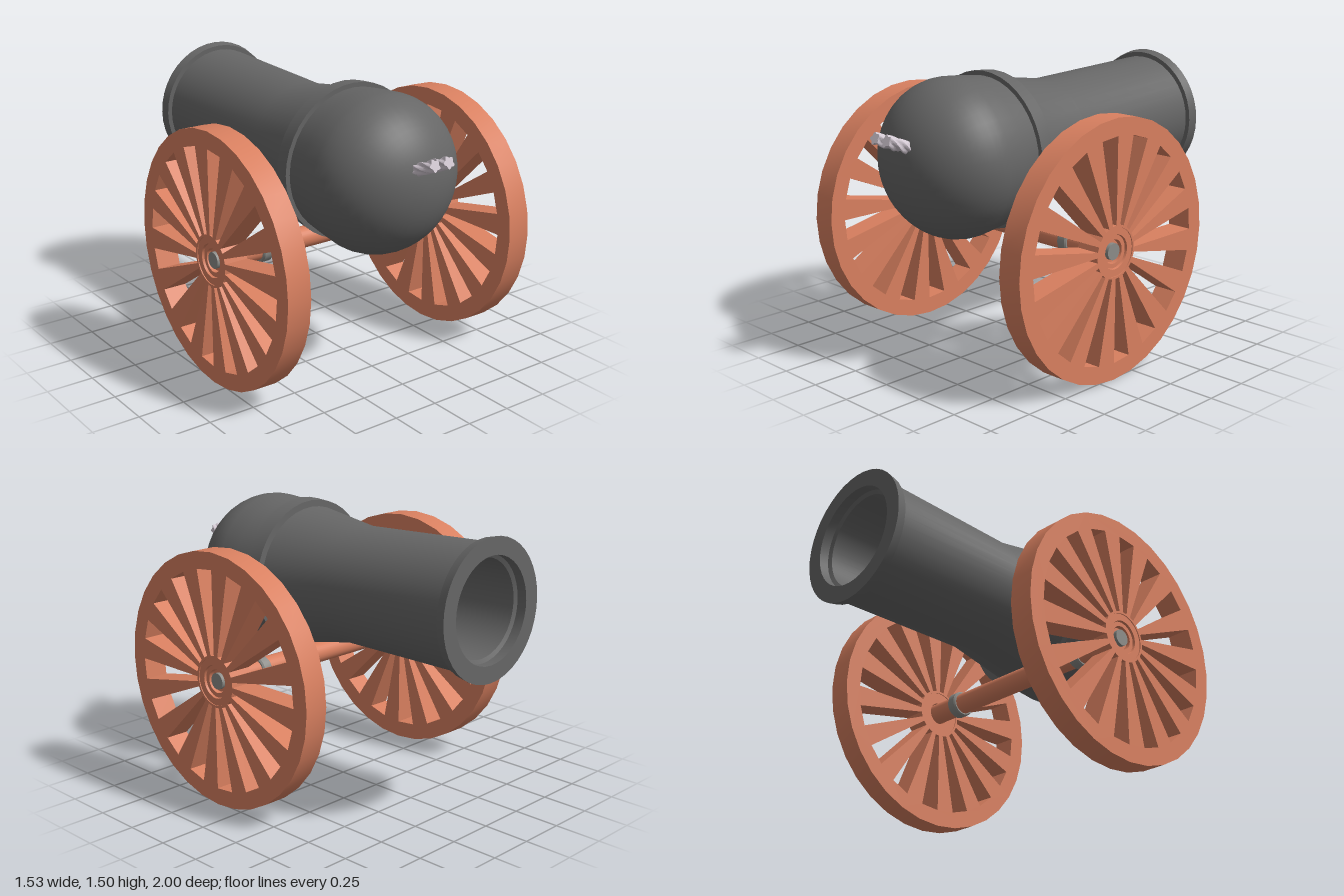
import * as THREE from 'three';
import { toCreasedNormals } from 'three/addons/utils/BufferGeometryUtils.js';

const material = (color) => new THREE.MeshStandardMaterial({ color });
const iron = material(0x666666);
const wood = material(0xd98060);
const steel = material(0x8c8c88);
const rope = material(0xd0c6d0);

const AXLE_Y = 0.67, AXLE_Z = 0.16;

function addMesh(parent, name, geometry, mat) {
  const mesh = new THREE.Mesh(geometry, mat);
  mesh.name = name;
  parent.add(mesh);
  return mesh;
}

function lathe(points, segments = 32) {
  const profile = points.map(([r, y]) => new THREE.Vector2(r, y));
  return toCreasedNormals(new THREE.LatheGeometry(profile, segments), 0.4);
}

const polar = (r, a) => new THREE.Vector2(r * Math.cos(a), r * Math.sin(a));

function circle(r, sides) {
  return Array.from({ length: sides }, (_, i) => polar(r, (i / sides) * Math.PI * 2));
}

// Flat wheel with 16 wedge-shaped openings, extruded along x
function wheelGeometry() {
  const shape = new THREE.Shape(circle(0.67, 32));
  shape.holes.push(new THREE.Path(circle(0.125, 32)));
  const step = Math.PI / 8;
  for (let i = 0; i < 16; i++) {
    const a = i * step, b = a + step / 2;
    shape.holes.push(new THREE.Path([polar(0.137, a), polar(0.58, a), polar(0.58, b), polar(0.137, b)]));
  }
  const g = new THREE.ExtrudeGeometry(shape, { depth: 0.13, bevelEnabled: false });
  g.translate(0, 0, -0.065);
  g.rotateY(Math.PI / 2);
  return toCreasedNormals(g, 0.4);
}

// Lobed cross-section, twisted along its length
function fuseGeometry() {
  const lobes = Array.from({ length: 30 }, (_, i) => {
    const a = (i / 30) * Math.PI * 2;
    return polar(0.028 + 0.005 * Math.cos(5 * a), a);
  });
  const g = new THREE.ExtrudeGeometry(new THREE.Shape(lobes), {
    depth: 0.2, steps: 16, bevelEnabled: false,
  });
  const p = g.attributes.position;
  for (let i = 0; i < p.count; i++) {
    const v = new THREE.Vector3().fromBufferAttribute(p, i);
    v.applyAxisAngle(new THREE.Vector3(0, 0, 1), v.z * 16);
    p.setXYZ(i, v.x, v.y, v.z);
  }
  return toCreasedNormals(g, 0.8);
}

export function createModel() {
  const model = new THREE.Group();
  model.name = 'cannon';

  // Barrel: bore, muzzle lip, neck, reinforcing band, rounded breech
  const profile = [
    [0, -0.1], [0.25, -0.1], [0.25, -0.93], [0.27, -0.94], [0.27, -0.992],
    [0.36, -0.992], [0.35, -0.942], [0.325, -0.942], [0.31, -0.13], [0.37, 0.228],
    [0.405, 0.228], [0.412, 0.312], [0.388, 0.312], [0.402, 0.42],
  ];
  for (let i = 0; i <= 14; i++) {
    const t = (i / 14) * Math.PI / 2;
    profile.push([i === 14 ? 0 : 0.412 * Math.cos(t), 0.53 + 0.355 * Math.sin(t)]);
  }
  const barrel = addMesh(model, 'barrel', lathe(profile, 40), iron);
  barrel.rotation.x = Math.PI / 2 + 0.021;
  barrel.position.y = 1.091;

  // Pair of twisted fuses at the breech
  const fuse = fuseGeometry();
  for (const side of [-1, 1]) {
    const f = addMesh(model, 'fuse', fuse, rope);
    f.position.set(side * 0.043, 1.168, 0.805);
    f.rotation.x = -0.39;
  }

  // Axle
  const axle = addMesh(model, 'axle', new THREE.CylinderGeometry(0.057, 0.057, 1.46, 32), wood);
  axle.rotation.z = Math.PI / 2;
  axle.position.set(0, AXLE_Y, AXLE_Z);

  // Wheels, hubs, axle pins and collars on both sides
  const wheel = wheelGeometry();
  const hub = lathe([
    [0.062, -0.06], [0.135, -0.06], [0.135, 0.06], [0.088, 0.06], [0.085, 0.048],
    [0.062, 0.048], [0.062, -0.06],
  ]);
  const collar = lathe([
    [0.05, -0.03], [0.064, -0.03], [0.071, -0.022], [0.071, 0.022], [0.064, 0.03], [0.05, 0.03],
  ]);
  const pin = new THREE.CylinderGeometry(0.043, 0.043, 0.04, 24);
  for (const side of [-1, 1]) {
    addMesh(model, 'wheel', wheel, wood).position.set(side * 0.7, AXLE_Y, AXLE_Z);
    for (const [name, geometry, mat, x] of [
      ['hub', hub, wood, 0.7], ['axlePin', pin, steel, 0.73], ['collar', collar, steel, 0.46],
    ]) {
      const part = addMesh(model, name, geometry, mat);
      part.position.set(side * x, AXLE_Y, AXLE_Z);
      part.rotation.z = -side * Math.PI / 2;
    }
  }
  return model;
}
